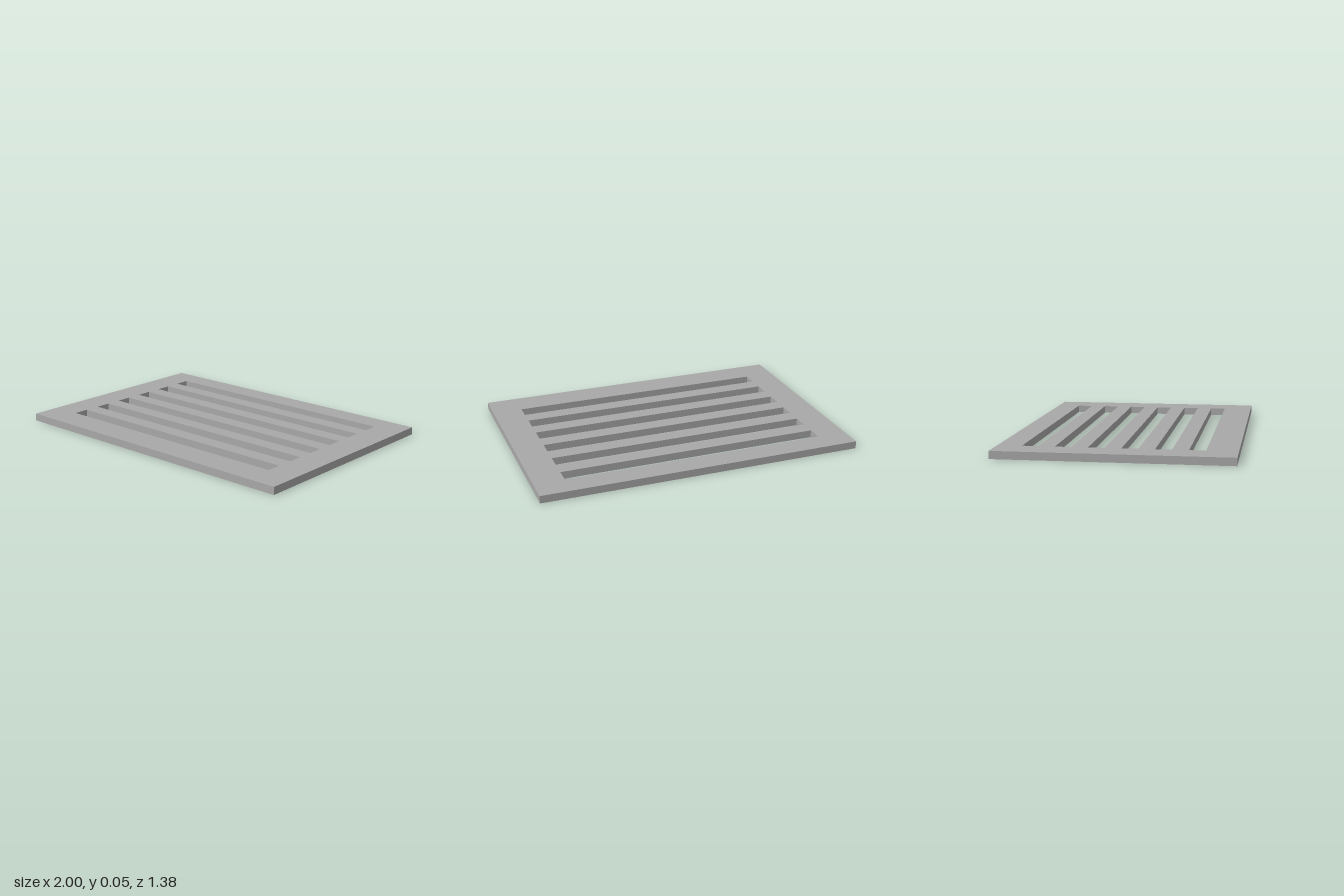
import * as THREE from 'three';

const WIDTH = 2, DEPTH = 1.3846, THICKNESS = 0.0465;
const SLOT_COUNT = 6, SLOT_LENGTH = 1.63, SLOT_WIDTH = 0.0962;
const SLOT_PITCH = 0.1923, FIRST_SLOT_Z = -0.5;

// Adds a rectangle centred on (0, cy) to a shape or path.
function rect(path, w, h, cy = 0) {
  path.moveTo(-w / 2, cy - h / 2);
  path.lineTo(w / 2, cy - h / 2);
  path.lineTo(w / 2, cy + h / 2);
  path.lineTo(-w / 2, cy + h / 2);
  path.closePath();
  return path;
}

export function createModel() {
  const group = new THREE.Group();
  group.name = 'slottedGrate';

  const grey = new THREE.MeshStandardMaterial({ color: 0xa8a8a8 });
  grey.name = 'grey';

  // Flat plate pierced by evenly spaced slots
  const outline = rect(new THREE.Shape(), WIDTH, DEPTH);
  for (let i = 0; i < SLOT_COUNT; i++) {
    const z = FIRST_SLOT_Z + i * SLOT_PITCH;
    outline.holes.push(rect(new THREE.Path(), SLOT_LENGTH, SLOT_WIDTH, -z));
  }
  const geometry = new THREE.ExtrudeGeometry(outline, { depth: THICKNESS, bevelEnabled: false });
  geometry.rotateX(-Math.PI / 2); // lay flat, standing on y = 0

  const plate = new THREE.Mesh(geometry, grey);
  plate.name = 'slottedPlate';
  group.add(plate);
  return group;
}
